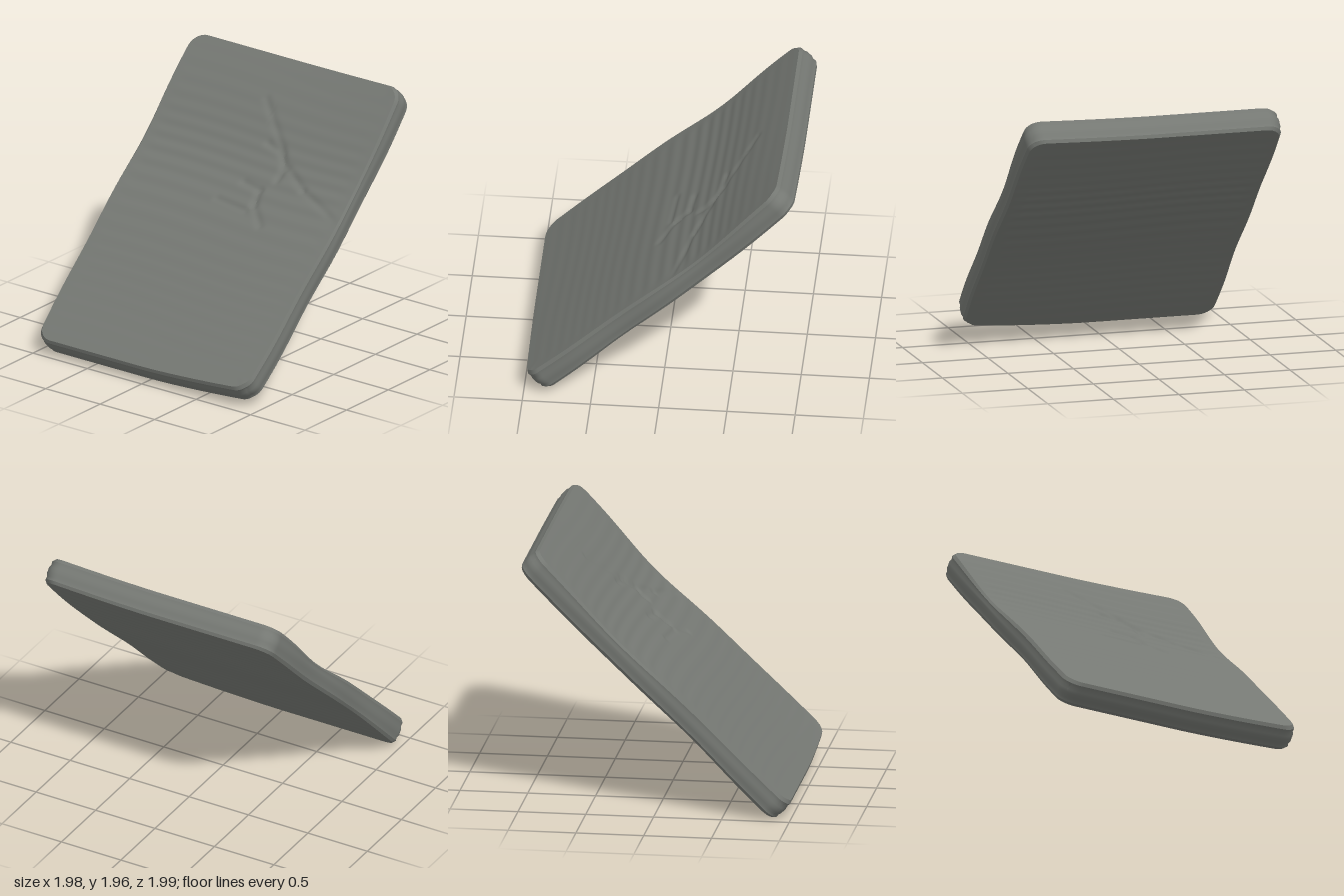
import * as THREE from 'three';
import { mergeVertices, toCreasedNormals } from 'three/addons/utils/BufferGeometryUtils.js';

const HALF_LENGTH = 1.318, CORNER = 0.115;
const bump = (d, width) => Math.exp(-((d / width) ** 2));

// Pinched folds on the upper face: x0, s0, x1, s1, height (s runs up the slope)
const FOLDS = [
  [-0.1, 1.64, 0.2, 1.33, -0.009],
  [0.08, 1.32, 0.24, 1.27, -0.012],
  [0.22, 1.3, 0.32, 1.16, -0.014],
  [0.3, 1.16, 0.3, 1.06, -0.014],
  [0.34, 1.18, 0.55, 1.04, -0.011],
  [0.55, 1.04, 0.93, 0.88, -0.01],
  [0.04, 0.98, 0.2, 0.95, -0.012],
  [0.2, 0.95, 0.22, 0.82, -0.014],
  [-0.1, 0.8, 0.18, 0.77, -0.011],
  [0.22, 0.83, 0.36, 0.68, -0.01],
];

function foldHeight(x, s) {
  let h = 0;
  for (const [x0, s0, x1, s1, height] of FOLDS) {
    const dx = x1 - x0, ds = s1 - s0;
    const k = THREE.MathUtils.clamp(((x - x0) * dx + (s - s0) * ds) / (dx * dx + ds * ds), 0, 1);
    h += height * bump(Math.hypot(x - x0 - k * dx, s - s0 - k * ds), 0.026);
  }
  return Math.max(h, -0.018);
}

// Outline of the side wall: how far it sits inside the widest line
function wallInset(c) {
  const a = Math.abs(c);
  return a > 0.9 ? 0.02 : a > 0.7 ? 0.005 : a > 0.45 ? 0.007 : 0;
}

function cushionGeometry() {
  let geo = new THREE.BoxGeometry(2, 2, 2, 110, 160, 8);
  geo.deleteAttribute('normal');
  geo.deleteAttribute('uv');
  geo = mergeVertices(geo, 1e-5);
  const p = geo.attributes.position;

  for (let i = 0; i < p.count; i++) {
    const a = p.getX(i), b = p.getY(i), c = p.getZ(i);

    // Rounded corners in plan
    const inset = wallInset(c);
    const hx = 0.98 - 0.01 * b * b - inset, hs = HALF_LENGTH - inset;
    let x = a * hx, v = b * hs;
    const cx = THREE.MathUtils.clamp(x, CORNER - hx, hx - CORNER);
    const cv = THREE.MathUtils.clamp(v, CORNER - hs, hs - CORNER);
    const dx = x - cx, dv = v - cv, len = Math.hypot(dx, dv);
    if (len > 0) {
      const k = Math.max(Math.abs(dx), Math.abs(dv)) / len;
      x = cx + dx * k;
      v = cv + dv * k;
    }

    // Uneven sides, and a lower edge that rises toward the left
    x += 0.005 + 0.014 * b - 0.009 * b * b + 0.004 * a * Math.sin(9 * b + 1.5);
    const left = Math.max(0, a) ** 1.6;
    const s = 0.68 + v + 0.045 * left * Math.max(0, -b);

    // Thickness, with the upper face sagging above the middle
    const sag = bump(s - 1.12, 0.45);
    let n = c > 0
      ? 0.727 + c * (0.093 - 0.036 * sag + 0.006 * b * b)
      : 0.727 + c * (0.09 - 0.012 * bump(s - 0.2, 0.4) + 0.01 * bump(s - 1.3, 0.45));
    n += 0.018 * left * b * b - 0.005 * (1 - left) * Math.max(0, b);

    // Long cross wrinkles and pinched folds
    const mask = Math.min(1, 8 * (1 - Math.abs(a))) * Math.min(1, 8 * (1 - Math.abs(b)));
    if (Math.abs(c) > 0.99) {
      const wave = Math.sin(50 * s + 1.2 * Math.sin(2.5 * x) + 1.5 * Math.sin(5 * s));
      const strength = 0.0007 + 0.0024 * bump(s - 1.0, 0.5);
      n += mask * wave * strength;
      if (c > 0) n += mask * foldHeight(x, s);
    }

    // Lean the slab back
    p.setXYZ(i, x, 0.699 * s + 0.715 * n, -0.715 * s + 0.699 * n);
  }

  // Settle on the ground, centred
  geo.computeBoundingBox();
  const mid = geo.boundingBox.getCenter(new THREE.Vector3());
  geo.translate(-mid.x, -geo.boundingBox.min.y, -mid.z);
  return toCreasedNormals(geo, 0.6);
}

export function createModel() {
  const fabric = new THREE.MeshStandardMaterial({ color: 0x757873 });
  fabric.name = 'grey fabric';
  const cushion = new THREE.Mesh(cushionGeometry(), fabric);
  cushion.name = 'cushion';
  const group = new THREE.Group();
  group.name = 'leaningCushion';
  group.add(cushion);
  return group;
}
